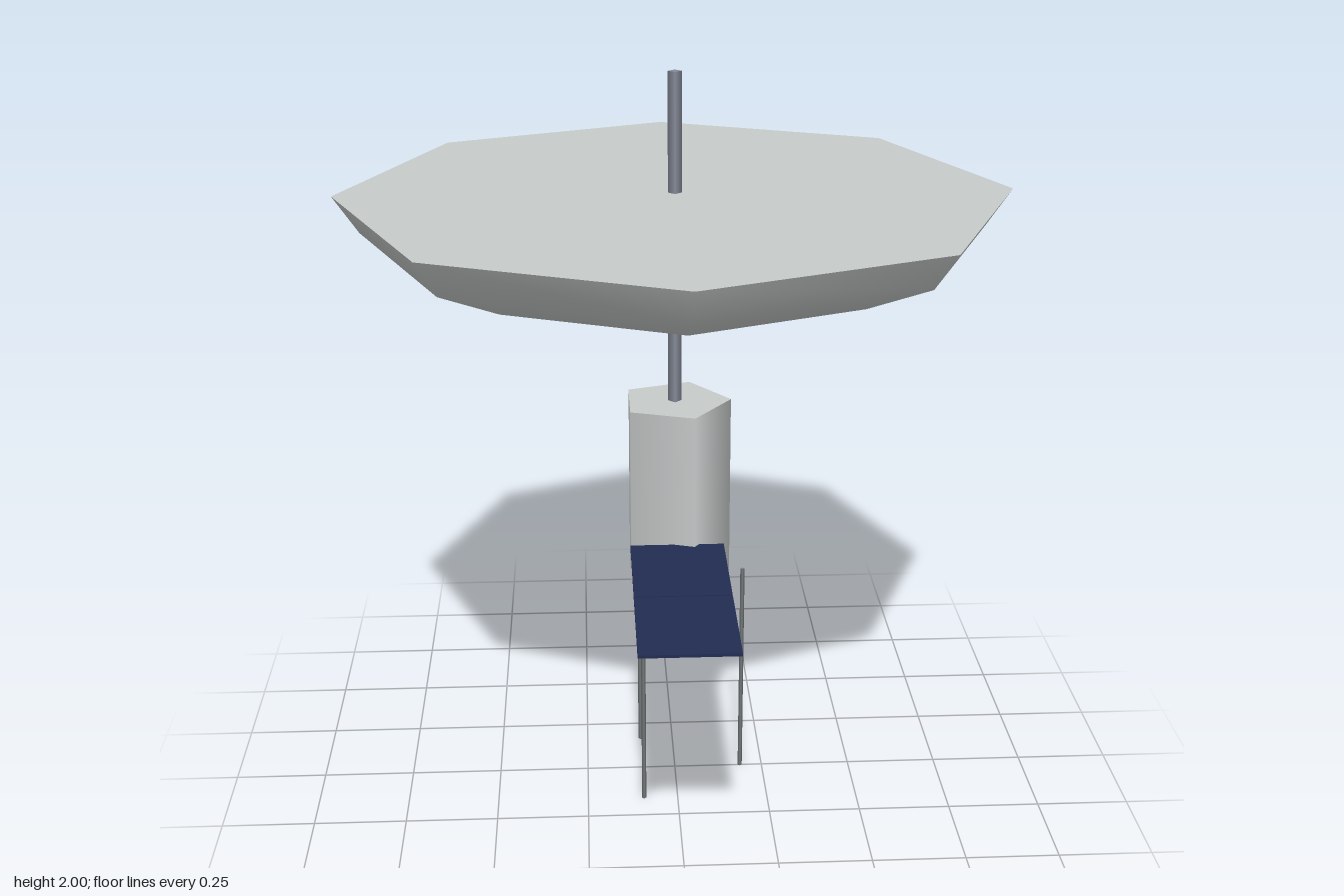
import * as THREE from 'three';

export function createModel() {
  const group = new THREE.Group();
  const mat = (name, color) => {
    const m = new THREE.MeshStandardMaterial({ color });
    m.name = name;
    return m;
  };
  const hull = mat('pale grey hull', 0xc6cac9);
  const steel = mat('blue grey steel', 0x868b98);
  const legGrey = mat('leg grey', 0x757a7a);
  const navy = mat('navy solar cell', 0x222d52);

  const add = (name, geometry, material, x = 0, y = 0, z = 0) => {
    const mesh = new THREE.Mesh(geometry, material);
    mesh.name = name;
    mesh.position.set(x, y, z);
    group.add(mesh);
    return mesh;
  };

  // Five-sided body with one corner towards +x
  add('body', new THREE.CylinderGeometry(0.15, 0.15, 0.5, 5, 1, false, Math.PI / 2), hull, 0, 0.875, 0);

  // Square mast running through the dish
  add('mast', new THREE.CylinderGeometry(0.018, 0.018, 0.875, 4), steel, 0, 1.5625, 0);

  // Eight-sided shallow bowl with a flat lid
  const profile = [[0, 1.43], [0.335, 1.45], [0.617, 1.508], [0.807, 1.594], [0.873, 1.69]]
    .map(([r, y]) => new THREE.Vector2(r, y));
  add('dishBowl', new THREE.LatheGeometry(profile, 8), hull);
  const lid = new THREE.CircleGeometry(0.873, 8);
  lid.rotateX(-Math.PI / 2);
  add('dishLid', lid, hull, 0, 1.69, 0);

  // Three thin antenna legs around the base
  for (let i = 0; i < 3; i++) {
    const a = (i * Math.PI * 2) / 3;
    add('leg', new THREE.CylinderGeometry(0.006, 0.006, 0.625, 4), legGrey,
      0.1875 * Math.cos(a), 0.3125, 0.1875 * Math.sin(a));
  }

  // Two solar panels in a row, with a narrow gap
  for (const z of [0.28, 0.595]) {
    add('solarPanel', new THREE.BoxGeometry(0.25, 0.008, 0.31), navy, 0, 0.755, z);
  }

  return group;
}
